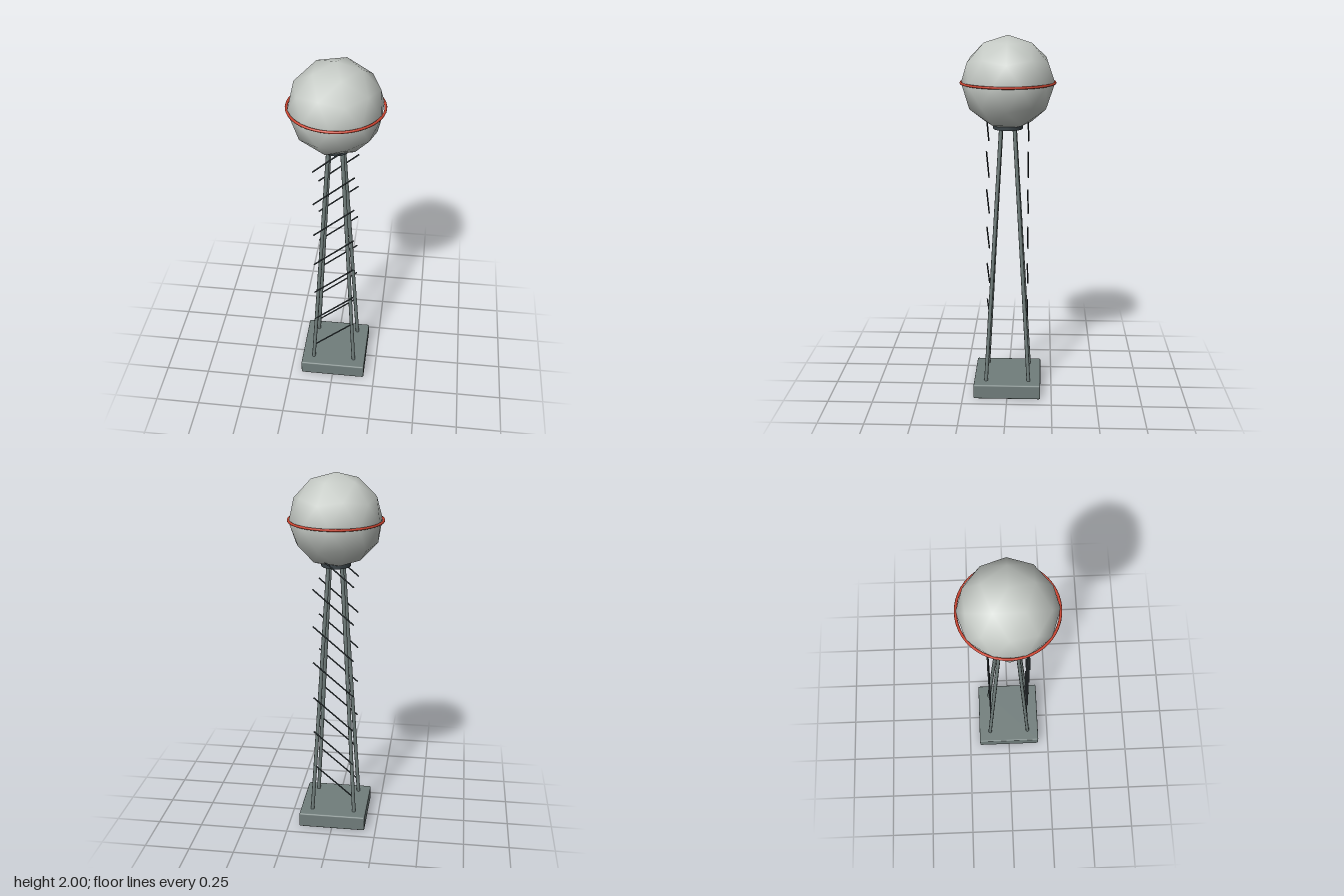
import * as THREE from 'three';
import { RoundedBoxGeometry } from 'three/addons/geometries/RoundedBoxGeometry.js';

const tankGrey = new THREE.MeshStandardMaterial({ name: 'tankGrey', color: 0xc6cbc6 });
const steelGrey = new THREE.MeshStandardMaterial({ name: 'steelGrey', color: 0x717e7c });
const darkSteel = new THREE.MeshStandardMaterial({ name: 'darkSteel', color: 0x3a4347 });
const bandRed = new THREE.MeshStandardMaterial({ name: 'bandRed', color: 0xcc4430 });

function addPart(parent, name, geometry, material, y = 0) {
  const mesh = new THREE.Mesh(geometry, material);
  mesh.name = name;
  mesh.position.y = y;
  parent.add(mesh);
  return mesh;
}

// Round bar running from point a to point b
function addBar(parent, name, a, b, radius, sides, material) {
  const direction = b.clone().sub(a);
  const bar = addPart(parent, name, new THREE.CylinderGeometry(radius, radius, direction.length(), sides), material);
  bar.position.copy(a).add(b).multiplyScalar(0.5);
  bar.quaternion.setFromUnitVectors(new THREE.Vector3(0, 1, 0), direction.normalize());
}

export function createModel() {
  const tower = new THREE.Group();
  tower.name = 'waterTower';

  // Foundation slab with softened edges
  addPart(tower, 'base', new RoundedBoxGeometry(0.375, 0.083, 0.375, 2, 0.008), steelGrey, 0.0415);

  // Four legs leaning in towards the collar
  const legs = new THREE.Group();
  legs.name = 'legs';
  tower.add(legs);
  for (const sx of [-1, 1]) {
    for (const sz of [-1, 1]) {
      addBar(legs, 'leg', new THREE.Vector3(sx * 0.122, 0.05, sz * 0.122),
        new THREE.Vector3(sx * 0.036, 1.515, sz * 0.036), 0.0105, 8, steelGrey);
    }
  }

  // Slanted braces, the same rise on the front and back sides
  const braces = new THREE.Group();
  braces.name = 'braces';
  tower.add(braces);
  for (const z of [-0.11, 0.11]) {
    for (let i = 0; i < 7; i++) {
      const y = 0.173 + i * 0.2075;
      addBar(braces, 'brace', new THREE.Vector3(-0.11, y, z),
        new THREE.Vector3(0.11, y + 0.19, z), 0.004, 6, darkSteel);
    }
  }

  // Collar under the tank
  addPart(tower, 'collar', new THREE.CylinderGeometry(0.08, 0.08, 0.03, 16), darkSteel, 1.52);

  // Smooth-shaded faceted tank, turned so that a corner points straight up
  const tank = new THREE.IcosahedronGeometry(0.25, 1);
  tank.rotateZ(-Math.atan(2 / (1 + Math.sqrt(5))));
  addPart(tower, 'tank', tank, tankGrey, 1.75);

  // Red band round the middle of the tank
  const band = new THREE.TorusGeometry(0.25, 0.007, 8, 48);
  band.rotateX(Math.PI / 2);
  addPart(tower, 'band', band, bandRed, 1.752);

  return tower;
}
